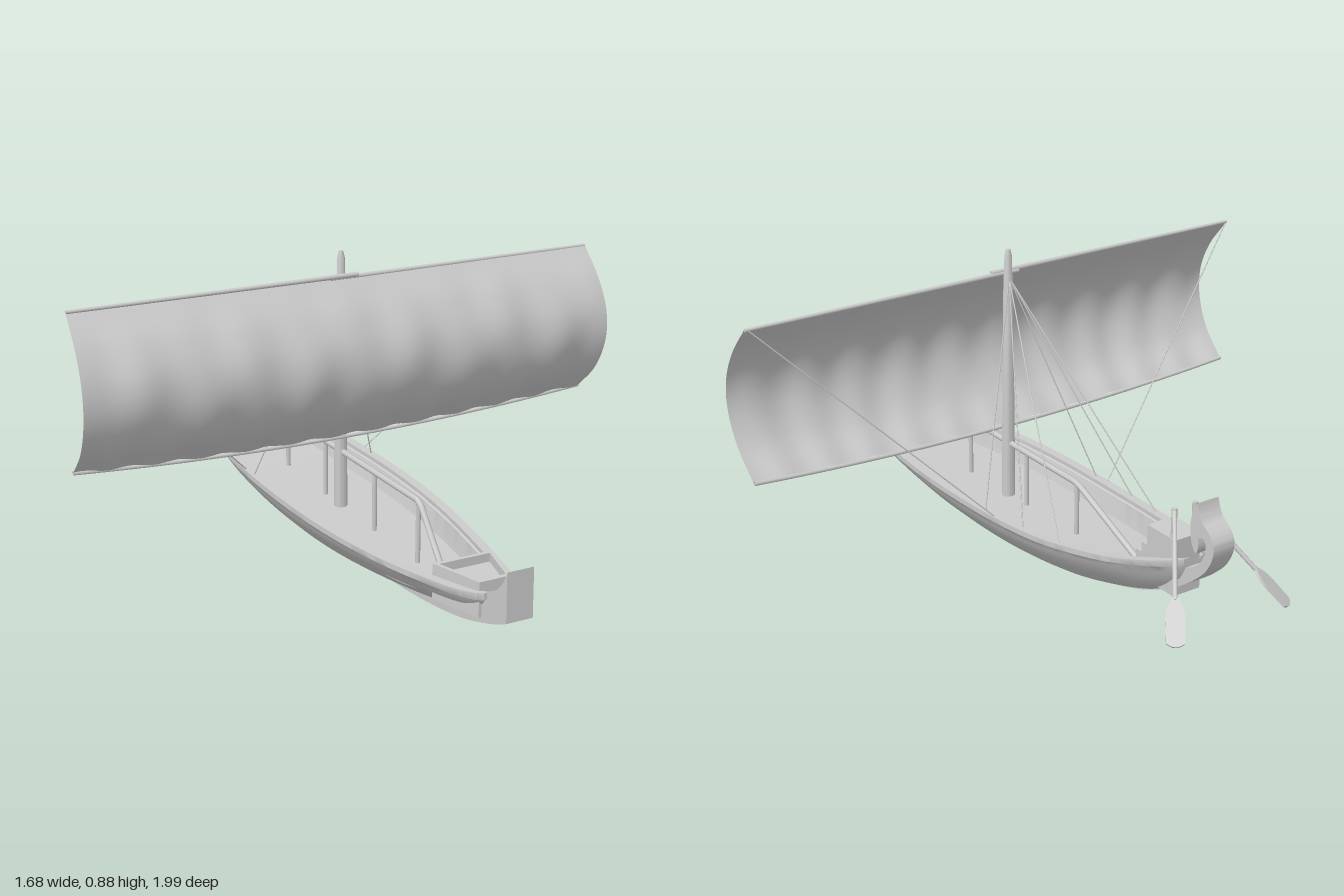
import * as THREE from 'three';
import { toCreasedNormals } from 'three/addons/utils/BufferGeometryUtils.js';

const V = (x, y, z) => new THREE.Vector3(x, y, z);
const mat = new THREE.MeshStandardMaterial({ color: 0xcccccc, side: THREE.DoubleSide });

function add(parent, name, geo) {
  const mesh = new THREE.Mesh(geo, mat);
  mesh.name = name;
  parent.add(mesh);
  return mesh;
}

// Straight round bar between two points
function bar(parent, name, a, b, r0, r1 = r0, sides = 10) {
  const mesh = add(parent, name, new THREE.CylinderGeometry(r1, r0, a.distanceTo(b), sides));
  mesh.position.copy(a).add(b).multiplyScalar(0.5);
  mesh.quaternion.setFromUnitVectors(V(0, 1, 0), b.clone().sub(a).normalize());
  return mesh;
}

// Skin over closed rings of equal length
function loft(rings) {
  const n = rings[0].length, pos = [], idx = [];
  rings.forEach(r => r.forEach(p => pos.push(p.x, p.y, p.z)));
  for (let i = 0; i < rings.length - 1; i++) {
    for (let j = 0; j < n; j++) {
      const a = i * n + j, b = i * n + (j + 1) % n, c = a + n, d = b + n;
      idx.push(a, b, c, b, d, c);
    }
  }
  const g = new THREE.BufferGeometry();
  g.setAttribute('position', new THREE.Float32BufferAttribute(pos, 3));
  g.setIndex(idx);
  return toCreasedNormals(g, 0.7);
}

// Side profile given as (z, y), extruded across the beam
function sideExtrude(shape, width) {
  const g = new THREE.ExtrudeGeometry(shape, { depth: width, bevelEnabled: false, curveSegments: 12 });
  g.translate(0, 0, -width / 2).rotateY(-Math.PI / 2);
  return toCreasedNormals(g, 0.6);
}

// Hull stations: z, half beam, sheer height, bottom height
const stations = [
  [0.91, 0.05, 0.18, 0.15], [0.88, 0.068, 0.175, 0.118], [0.8, 0.1, 0.17, 0.085], [0.6, 0.15, 0.165, 0.05],
  [0.4, 0.186, 0.167, 0.027], [0.2, 0.207, 0.172, 0.01], [0, 0.213, 0.177, 0.005], [-0.2, 0.207, 0.182, 0.015],
  [-0.4, 0.188, 0.195, 0.04], [-0.6, 0.148, 0.222, 0.09], [-0.72, 0.11, 0.248, 0.135], [-0.8, 0.068, 0.268, 0.19], [-0.83, 0.045, 0.278, 0.235],
];
const beamCurve = new THREE.CatmullRomCurve3(stations.map(s => V(s[0], s[1], 0)), false, 'catmullrom');
const heightCurve = new THREE.CatmullRomCurve3(stations.map(s => V(s[0], s[2], s[3])), false, 'catmullrom');

function hullRing(t) {
  const { x: z, y: b } = beamCurve.getPoint(t);
  const { y: top, z: low } = heightCurve.getPoint(t);
  const h = top - low;
  const rim = Math.min(0.028, b * 0.4);
  const deck = Math.max(top - 0.07, low + h * 0.4);
  const half = [
    [b * 0.22, low], [b * 0.36, low + h * 0.06], [b * 0.53, low + h * 0.2], [b * 0.7, low + h * 0.4], [b * 0.84, low + h * 0.6],
    [b * 0.94, low + h * 0.78], [b * 0.97, top - 0.02], [b, top - 0.016], [b, top],
    [b - rim, top], [b - rim, top - 0.012], [b - rim - 0.006, top - 0.014], [(b - rim) * 0.88, deck],
  ];
  const left = half.map(([x, y]) => V(x, y, z));
  const right = half.map(([x, y]) => V(-x, y, z)).reverse();
  return [...left, ...right];
}

function buildHull(boat) {
  const rings = [];
  for (let i = 0; i <= 72; i++) rings.push(hullRing(i / 72));
  // Close both ends
  const cap = r => {
    const c = r.reduce((s, p) => s.add(p), V(0, 0, 0)).divideScalar(r.length);
    return r.map(() => c.clone());
  };
  add(boat, 'hull', loft([cap(rings[0]), ...rings, cap(rings[72])]));

  // Keel with upturned stem
  const stem = new THREE.Shape();
  stem.moveTo(0.998, 0.27);
  stem.quadraticCurveTo(0.97, 0.2, 0.9, 0.175);
  stem.lineTo(0.86, 0.14);
  stem.quadraticCurveTo(0.6, 0.07, 0.3, 0.03);
  stem.lineTo(0.3, 0.016);
  stem.quadraticCurveTo(0.6, 0.02, 0.8, 0.062);
  stem.quadraticCurveTo(0.93, 0.095, 1, 0.13);
  add(boat, 'bowStem', sideExtrude(stem, 0.08));

  // Stern post curling into a hook
  const stern = new THREE.Shape();
  stern.moveTo(-0.3, 0.022);
  stern.quadraticCurveTo(-0.56, 0.06, -0.69, 0.122);
  stern.quadraticCurveTo(-0.82, 0.18, -0.9, 0.265);
  stern.quadraticCurveTo(-0.94, 0.32, -0.93, 0.355);
  stern.quadraticCurveTo(-0.92, 0.38, -0.885, 0.4);
  stern.quadraticCurveTo(-0.868, 0.42, -0.862, 0.45);
  stern.quadraticCurveTo(-0.835, 0.41, -0.838, 0.37);
  stern.quadraticCurveTo(-0.84, 0.32, -0.862, 0.305);
  stern.quadraticCurveTo(-0.875, 0.32, -0.87, 0.35);
  stern.quadraticCurveTo(-0.89, 0.37, -0.9, 0.345);
  stern.quadraticCurveTo(-0.905, 0.31, -0.87, 0.275);
  stern.quadraticCurveTo(-0.85, 0.255, -0.82, 0.25);
  stern.quadraticCurveTo(-0.7, 0.16, -0.3, 0.06);
  add(boat, 'sternPost', sideExtrude(stern, 0.07));
}

function buildDeckFittings(boat) {
  // Tapered bow locker with a raised rim; plan is (x, -z)
  const outer = [[-0.092, -0.725], [-0.048, -0.885], [0.048, -0.885], [0.092, -0.725]];
  const plan = k => outer.map(([x, y]) => new THREE.Vector2(x * k, -0.8 + (y + 0.8) * k));
  const wall = new THREE.Shape(plan(1));
  wall.holes.push(new THREE.Path(plan(0.84)));
  [['bowLockerWall', wall, 0.1], ['bowLockerFloor', new THREE.Shape(plan(0.9)), 0.075]].forEach(([name, shape, depth]) => {
    const g = new THREE.ExtrudeGeometry(shape, { depth, bevelEnabled: false }).rotateX(-Math.PI / 2);
    add(boat, name, g).position.y = 0.1;
  });

  // Helmsman's seat with two steps
  [['sternSeat', 0.115, 0.315, -0.733], ['upperStep', 0.025, 0.255, -0.665], ['lowerStep', 0.025, 0.225, -0.642]].forEach(([name, d, top, z]) => {
    add(boat, name, new THREE.BoxGeometry(0.09, top - 0.15, d)).position.set(0, (top + 0.15) / 2, z);
  });

  // Central rail on posts
  const path = new THREE.CurvePath();
  const pts = [V(0, 0.1, 0.645), V(0, 0.265, 0.512), V(0, 0.278, 0.49), V(0, 0.278, -0.29), V(0, 0.27, -0.32), V(0, 0.15, -0.6)];
  pts.slice(1).forEach((p, i) => path.add(new THREE.LineCurve3(pts[i], p)));
  add(boat, 'centreRail', new THREE.TubeGeometry(path, 160, 0.009, 8));
  for (const z of [0.495, 0.25, -0.05, -0.3]) bar(boat, 'railPost', V(0, 0.09, z), V(0, 0.278, z), 0.007);
}

function buildMast(boat) {
  const profile = [[0, 0.08], [0.02, 0.08], [0.019, 0.3], [0.014, 0.8], [0.012, 0.81], [0.011, 0.86], [0.006, 0.88], [0, 0.88]];
  const g = new THREE.LatheGeometry(profile.map(p => new THREE.Vector2(...p)), 16);
  add(boat, 'mast', toCreasedNormals(g, 0.6)).position.z = 0.045;
}

function buildSail(boat) {
  // Billowed cloth with soft folds and a scalloped foot
  const section = new THREE.CatmullRomCurve3([
    V(0, 0, 0.06), V(0, 0.18, 0.137), V(0, 0.4, 0.18), V(0, 0.6, 0.178), V(0, 0.8, 0.135), V(0, 1, 0.06),
  ]);
  const g = new THREE.PlaneGeometry(1.66, 1, 120, 32);
  const p = g.attributes.position;
  for (let i = 0; i < p.count; i++) {
    const x = p.getX(i), v = p.getY(i) + 0.5, c = section.getPoint(v);
    const e = Math.abs(x) / 0.83, mid = Math.sin(Math.PI * c.y);
    const foot = 0.33 + 0.028 * e * e + 0.005 * Math.sin(x * 45) * (1 - c.y);
    const fold = 0.0035 * Math.sin(x * 38 + 3 * v) + 0.003 * Math.sin(x * 23 - 5 * v + 1);
    p.setXYZ(i, x + Math.sign(x) * 0.008 * mid * e ** 8, foot + (0.808 - foot) * c.y, c.z + fold * mid);
  }
  g.computeVertexNormals();
  add(boat, 'sail', g);

  // Two lapped spars above, a bowed spar below
  bar(boat, 'upperYard', V(-0.83, 0.812, 0.06), V(0.045, 0.81, 0.064), 0.005, 0.007);
  bar(boat, 'upperYard', V(0.83, 0.804, 0.06), V(-0.045, 0.804, 0.06), 0.005, 0.007);
  const boom = new THREE.QuadraticBezierCurve3(V(-0.83, 0.358, 0.058), V(0, 0.293, 0.062), V(0.83, 0.358, 0.058));
  add(boat, 'lowerYard', new THREE.TubeGeometry(boom, 40, 0.006, 8));
}

function buildSide(boat, s) {
  // Stays from the masthead and a brace from the yard end
  const head = V(0, 0.795, 0.04);
  for (const [x, y, z] of [[0.2, 0.175, -0.13], [0.193, 0.185, -0.31], [0.17, 0.198, -0.45]]) {
    bar(boat, 'stay', head, V(s * x, y, z), 0.002, 0.002, 5);
  }
  bar(boat, 'brace', V(s * 0.825, 0.806, 0.058), V(s * 0.2, 0.178, -0.18), 0.002, 0.002, 5);

  // Steering oar leaning on its post
  bar(boat, 'oarPost', V(s * 0.035, 0.2, -0.772), V(s * 0.035, 0.4, -0.772), 0.008);
  const top = V(s * 0.035, 0.395, -0.772), tip = V(s * 0.192, 0.137, -0.982);
  const oar = new THREE.Group();
  oar.name = 'steeringOar';
  const len = top.distanceTo(tip);
  bar(oar, 'oarShaft', V(0, 0, 0), V(0, 0, len * 0.66), 0.0065);
  const blade = new THREE.Shape();
  blade.moveTo(-0.006, 0);
  blade.quadraticCurveTo(-0.024, 0.02, -0.026, 0.05);
  blade.lineTo(-0.024, 0.12);
  blade.quadraticCurveTo(0, 0.14, 0.024, 0.12);
  blade.lineTo(0.026, 0.05);
  blade.quadraticCurveTo(0.024, 0.02, 0.006, 0);
  const g = new THREE.ExtrudeGeometry(blade, { depth: 0.008, bevelEnabled: false });
  g.translate(0, 0, -0.004).rotateX(Math.PI / 2);
  add(oar, 'oarBlade', g).position.z = len - 0.13;
  oar.position.copy(top);
  oar.lookAt(tip);
  boat.add(oar);
}

export function createModel() {
  const boat = new THREE.Group();
  boat.name = 'sailingBoat';
  buildHull(boat);
  buildDeckFittings(boat);
  buildMast(boat);
  buildSail(boat);
  for (const s of [1, -1]) buildSide(boat, s);
  return boat;
}
